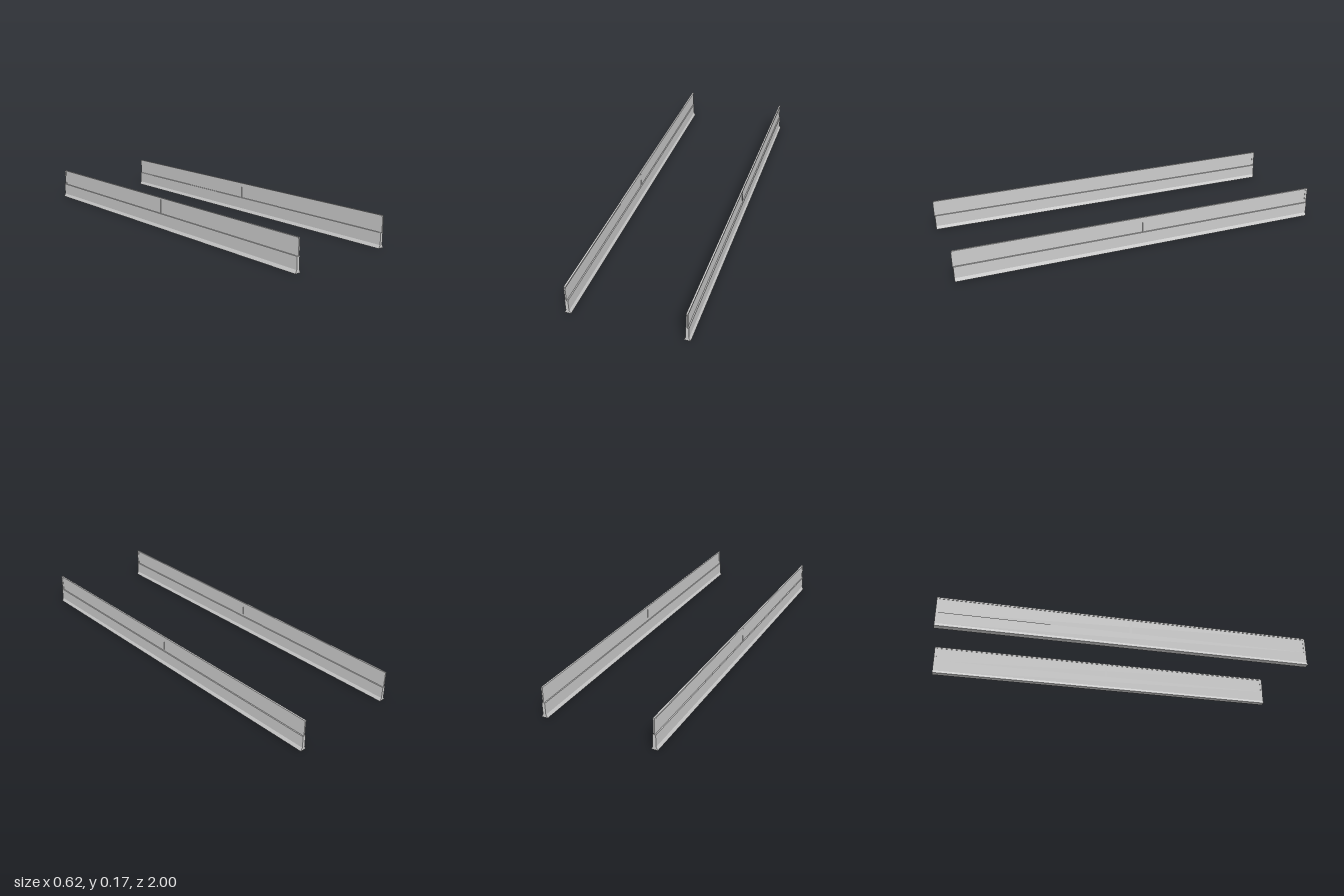
import * as THREE from 'three';

const BACK = -1, FRONT = 0.997, LENGTH = FRONT - BACK, MID = (FRONT + BACK) / 2;
const BASE_TOP = 0.079, RAIL_BOTTOM = 0.157, TOP = 0.165;

export function createModel() {
  const model = new THREE.Group();
  const material = new THREE.MeshStandardMaterial({ color: 0xcccccc, flatShading: true });

  const addBox = (parent, name, width, y0, y1, depth, z) => {
    const mesh = new THREE.Mesh(new THREE.BoxGeometry(width, y1 - y0, depth), material);
    mesh.name = name;
    mesh.position.set(0, (y0 + y1) / 2, z);
    parent.add(mesh);
  };

  // Kerb section: flared foot below an upright wall
  const profile = new THREE.Shape([
    [-0.0167, 0], [0.0167, 0], [0.0082, 0.017], [0.0082, BASE_TOP],
    [-0.0082, BASE_TOP], [-0.0082, 0.017],
  ].map(([x, y]) => new THREE.Vector2(x, y)));
  const baseGeometry = new THREE.ExtrudeGeometry(profile, { depth: LENGTH, bevelEnabled: false });
  baseGeometry.translate(0, 0, BACK);

  for (const side of [1, -1]) {
    const barrier = new THREE.Group();
    barrier.name = side > 0 ? 'leftBarrier' : 'rightBarrier';
    barrier.position.x = side * 0.2945;

    const base = new THREE.Mesh(baseGeometry, material);
    base.name = 'flaredBase';
    barrier.add(base);

    // Thin screen framed by posts and a top rail
    addBox(barrier, 'screenPanel', 0.004, BASE_TOP, RAIL_BOTTOM, LENGTH - 0.01, MID);
    addBox(barrier, 'topRail', 0.009, RAIL_BOTTOM, TOP, LENGTH, MID);
    for (const z of [-0.9935, 0, 0.9935]) {
      addBox(barrier, 'post', 0.0072, BASE_TOP, RAIL_BOTTOM, 0.013, z);
    }
    model.add(barrier);
  }
  return model;
}
